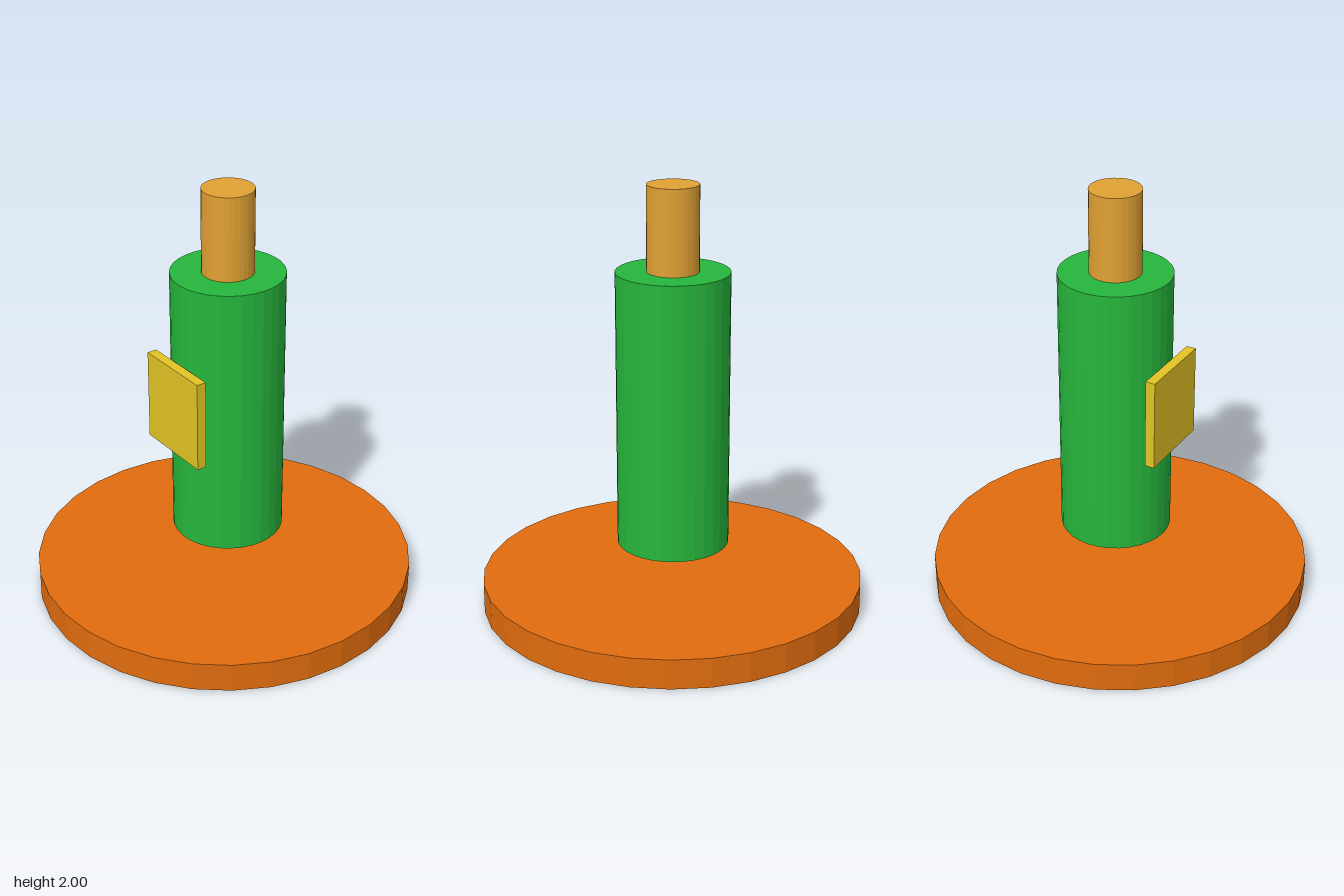
import * as THREE from 'three';

const material = (name, color) => {
  const m = new THREE.MeshStandardMaterial({ color, flatShading: true });
  m.name = name;
  return m;
};

export function createModel() {
  const model = new THREE.Group();
  const orange = material('orange', 0xe06c0e);
  const green = material('green', 0x26b63c);
  const amber = material('amber', 0xe0a133);
  const yellow = material('yellow', 0xe2c425);
  const axisZ = -0.022; // the column sits slightly behind the base centre

  const add = (name, geometry, mat, y, z) => {
    const mesh = new THREE.Mesh(geometry, mat);
    mesh.name = name;
    mesh.position.set(0, y, z);
    model.add(mesh);
  };
  // Upright 32-sided cylinder between two heights
  const post = (name, radius, bottom, top, mat, z) =>
    add(name, new THREE.CylinderGeometry(radius, radius, top - bottom, 32), mat, (bottom + top) / 2, z);

  post('base', 0.893, 0, 0.14, orange, 0);
  post('body', 0.26, 0.31, 1.608, green, axisZ); // floats clear of the base
  post('neck', 0.119, 1.608, 2, amber, axisZ);

  // Square plate against the front of the body
  add('frontPlate', new THREE.BoxGeometry(0.387, 0.43, 0.046), yellow, 1.002, 0.262);

  return model;
}
